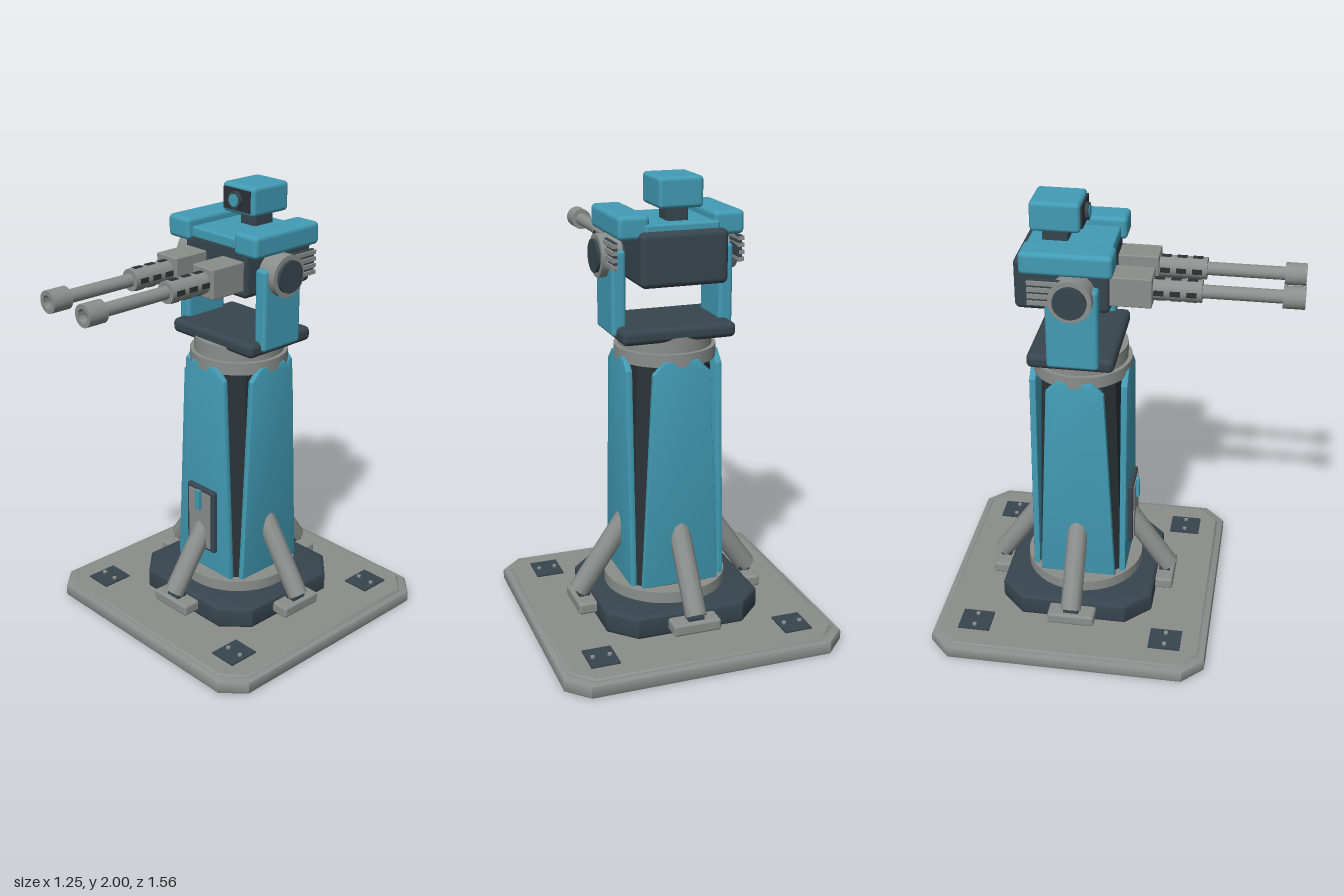
import * as THREE from 'three';
import { RoundedBoxGeometry } from 'three/addons/geometries/RoundedBoxGeometry.js';
import { toCreasedNormals } from 'three/addons/utils/BufferGeometryUtils.js';

const material = (name, color) => {
  const m = new THREE.MeshStandardMaterial({ color });
  m.name = name;
  return m;
};

export function createModel() {
  const blue = material('blue paint', 0x429cb5);
  const grey = material('grey metal', 0x8b8e8c);
  const dark = material('dark slate', 0x37454e);
  const black = material('dark core', 0x2b3236);

  const model = new THREE.Group();
  model.name = 'turret';
  const AXIS_Z = -0.155; // vertical axis of the pedestal

  const group = (name, parent = model, x = 0, y = 0, z = 0) => {
    const g = new THREE.Group();
    g.name = name;
    g.position.set(x, y, z);
    parent.add(g);
    return g;
  };
  const add = (parent, name, geo, mat, x = 0, y = 0, z = 0) => {
    const m = new THREE.Mesh(geo, mat);
    m.name = name;
    m.position.set(x, y, z);
    parent.add(m);
    return m;
  };
  // Box given by its extents, with optional rounded edges
  const box = (parent, name, mat, [x0, x1], [y0, y1], [z0, z1], r = 0) => {
    const s = [x1 - x0, y1 - y0, z1 - z0];
    const geo = r ? new RoundedBoxGeometry(...s, 3, r) : new THREE.BoxGeometry(...s);
    return add(parent, name, geo, mat, (x0 + x1) / 2, (y0 + y1) / 2, (z0 + z1) / 2);
  };
  // Cylinder along z from z0 to z1
  const rod = (parent, name, mat, r, x, y, z0, z1, sides = 28) =>
    add(parent, name, new THREE.CylinderGeometry(r, r, z1 - z0, sides).rotateX(Math.PI / 2), mat, x, y, (z0 + z1) / 2);
  // Square with cut corners
  const cutSquare = (h, c) => new THREE.Shape([
    [h, -h + c], [h, h - c], [h - c, h], [-h + c, h], [-h, h - c], [-h, -h + c], [-h + c, -h], [h - c, -h],
  ].map(([x, y]) => new THREE.Vector2(x, y)));
  // Cut-corner slab from y0 to y1 with beveled edges
  const slab = (parent, name, mat, h, c, y0, y1, bevel, segments = 2) => {
    const geo = new THREE.ExtrudeGeometry(cutSquare(h - bevel, c), {
      depth: y1 - y0 - 2 * bevel, bevelEnabled: bevel > 0, bevelSize: bevel, bevelThickness: bevel, bevelSegments: segments,
    });
    geo.rotateX(-Math.PI / 2).translate(0, y0 + bevel, 0);
    return add(parent, name, toCreasedNormals(geo, 0.6), mat);
  };

  // ---- Ground plate ----
  const base = group('base', model, 0, 0, AXIS_Z);
  slab(base, 'groundPlate', grey, 0.625, 0.085, 0, 0.06, 0.014);
  slab(base, 'groundPlateTop', grey, 0.595, 0.085, 0.05, 0.07, 0.008, 1);
  for (const sx of [-1, 1]) for (const sz of [-1, 1]) {
    const pad = group('anchorPad', base, sx * 0.435, 0.07, sz * 0.437);
    box(pad, 'anchorPlate', dark, [-0.063, 0.063], [-0.005, 0.007], [-0.072, 0.072]);
    for (const bx of [-0.037, 0.037])
      add(pad, 'anchorBolt', new THREE.CylinderGeometry(0.01, 0.01, 0.014, 8), grey, bx, 0.008, 0);
  }
  slab(base, 'plinth', dark, 0.35, 0.1, 0.065, 0.17, 0.018, 3);
  add(base, 'plinthRing', new THREE.CylinderGeometry(0.27, 0.27, 0.06, 48), grey, 0, 0.19, 0);

  // ---- Column ----
  const column = group('column', model, 0, 0, AXIS_Z);
  const coreGeo = new THREE.ExtrudeGeometry(cutSquare(0.19, 0.055), { depth: 1.03, bevelEnabled: false });
  coreGeo.rotateX(-Math.PI / 2).translate(0, 0.21, 0);
  const p = coreGeo.attributes.position;
  for (let i = 0; i < p.count; i++) {
    const k = 1 - 0.15 * (p.getY(i) - 0.21) / 1.03;
    p.setXYZ(i, p.getX(i) * k, p.getY(i), p.getZ(i) * k);
  }
  coreGeo.computeVertexNormals();
  add(column, 'columnCore', coreGeo, black);

  const panelShape = new THREE.Shape([
    [-0.165, 0.24], [0.165, 0.24], [0.118, 1.19], [0.07, 1.238], [-0.07, 1.238], [-0.118, 1.19],
  ].map(([x, y]) => new THREE.Vector2(x, y)));
  const panelGeo = toCreasedNormals(new THREE.ExtrudeGeometry(panelShape, {
    depth: 0.016, bevelSize: 0.008, bevelThickness: 0.007, bevelSegments: 2,
  }).translate(0, 0, 0.193), 0.6);

  // Four armor panels, each with a brace strut and its foot
  const strutFrom = new THREE.Vector3(0, 0.165, 0.402), strutTo = new THREE.Vector3(0, 0.5, 0.172);
  const strutDir = strutTo.clone().sub(strutFrom);
  const strutGeo = new THREE.CylinderGeometry(0.047, 0.047, strutDir.length(), 10);
  for (let i = 0; i < 4; i++) {
    const side = group('columnSide', column);
    side.rotation.y = i * Math.PI / 2;
    add(side, 'armorPanel', panelGeo, blue);
    const strut = add(side, 'braceStrut', strutGeo, grey);
    strut.position.copy(strutFrom).add(strutTo).multiplyScalar(0.5);
    strut.quaternion.setFromUnitVectors(new THREE.Vector3(0, 1, 0), strutDir.clone().normalize());
    box(side, 'braceFoot', grey, [-0.107, 0.107], [0.095, 0.148], [0.33, 0.43], 0.012);
    const pin = add(side, 'bracePin', new THREE.CylinderGeometry(0.026, 0.026, 0.07, 16), dark, 0, 0.155, 0.385);
    pin.rotation.z = Math.PI / 2;
  }

  // Access hatch on the front panel
  const hatch = group('accessHatch', column);
  box(hatch, 'hatchFrame', dark, [-0.09, 0.09], [0.34, 0.65], [0.205, 0.237], 0.01);
  box(hatch, 'hatchDoor', grey, [-0.07, 0.07], [0.358, 0.632], [0.23, 0.242]);
  box(hatch, 'hatchHandle', blue, [-0.013, 0.013], [0.545, 0.64], [0.24, 0.256]);

  // Collar and swivel ring
  add(column, 'collar', new THREE.CylinderGeometry(0.218, 0.218, 0.055, 48), grey, 0, 1.247, 0);
  add(column, 'swivelRing', new THREE.CylinderGeometry(0.2, 0.2, 0.07, 48), grey, 0, 1.305, 0);

  // ---- Yoke ----
  const yoke = group('yoke');
  box(yoke, 'turntable', dark, [-0.25, 0.25], [1.32, 1.385], [-0.353, 0.02], 0.025);
  const PIVOT_Y = 1.665, PIVOT_Z = -0.15;
  for (const s of [-1, 1]) {
    const span = (a, b) => (s > 0 ? [a, b] : [-b, -a]);
    const arm = group(s > 0 ? 'leftYokeArm' : 'rightYokeArm', yoke);
    box(arm, 'armPlate', blue, span(0.205, 0.267), [1.34, 1.7], [-0.262, -0.042], 0.016);
    const disc = (name, mat, r, x0, x1) => {
      const m = add(arm, name, new THREE.CylinderGeometry(r, r, x1 - x0, 36), mat, s * (x0 + x1) / 2, PIVOT_Y, PIVOT_Z);
      m.rotation.z = Math.PI / 2;
    };
    disc('pivotHub', grey, 0.091, 0.21, 0.3);
    disc('pivotCap', dark, 0.07, 0.29, 0.314);
    disc('pivotAxle', dark, 0.05, 0.17, 0.22);
    // Slatted vent behind the hub
    box(arm, 'ventBacking', dark, span(0.262, 0.276), [1.635, 1.745], [-0.325, -0.16]);
    for (let i = 0; i < 4; i++)
      box(arm, 'ventSlat', grey, span(0.262, 0.286), [1.637 + i * 0.029, 1.654 + i * 0.029], [-0.327, -0.16]);
  }

  // ---- Gun head ----
  const head = group('gunHead');
  box(head, 'headBody', dark, [-0.188, 0.188], [1.565, 1.79], [-0.405, -0.005], 0.025);
  box(head, 'roofPlate', blue, [-0.16, 0.16], [1.762, 1.818], [-0.37, -0.008], 0.01);
  for (const s of [-1, 1]) {
    box(head, 'roofPod', blue, s > 0 ? [0.138, 0.27] : [-0.27, -0.138], [1.757, 1.855], [-0.364, 0.018], 0.02);

    const gun = group(s > 0 ? 'leftGun' : 'rightGun', head, s * 0.112, PIVOT_Y, 0);
    box(gun, 'receiver', grey, [-0.063, 0.063], [-0.065, 0.065], [-0.03, 0.165], 0.006);
    rod(gun, 'barrelSleeve', grey, 0.047, 0, 0, 0.16, 0.365);
    rod(gun, 'barrel', grey, 0.028, 0, 0, 0.36, 0.72);
    // Cooling slots on four sides of the sleeve
    for (let i = 0; i < 4; i++) {
      const slots = group('coolingSlots', gun);
      slots.rotation.z = i * Math.PI / 2;
      for (const z of [0.19, 0.257, 0.324])
        box(slots, 'coolingSlot', black, [-0.011, 0.011], [0.042, 0.049], [z - 0.021, z + 0.021]);
    }
    // Hollow muzzle
    const profile = [[0.026, 0.69], [0.047, 0.69], [0.047, 0.78], [0.028, 0.78], [0.028, 0.735], [0.001, 0.735]];
    const muzzle = new THREE.LatheGeometry(profile.map(([r, z]) => new THREE.Vector2(r, z)), 28).rotateX(Math.PI / 2);
    add(gun, 'muzzle', toCreasedNormals(muzzle, 0.6), grey);
    rod(gun, 'boreLining', black, 0.0275, 0, 0, 0.73, 0.745);
  }

  // ---- Sensor camera ----
  const sensor = group('sensor');
  box(sensor, 'sensorNeck', dark, [-0.045, 0.045], [1.81, 1.885], [-0.31, -0.2], 0.008);
  box(sensor, 'sensorHousing', blue, [-0.096, 0.096], [1.872, 2.0], [-0.352, -0.14], 0.018);
  box(sensor, 'sensorFace', black, [-0.078, 0.078], [1.89, 1.983], [-0.15, -0.132]);
  rod(sensor, 'lensRing', dark, 0.037, 0, 1.937, -0.14, -0.117);
  rod(sensor, 'lens', blue, 0.027, 0, 1.937, -0.13, -0.113);

  return model;
}
